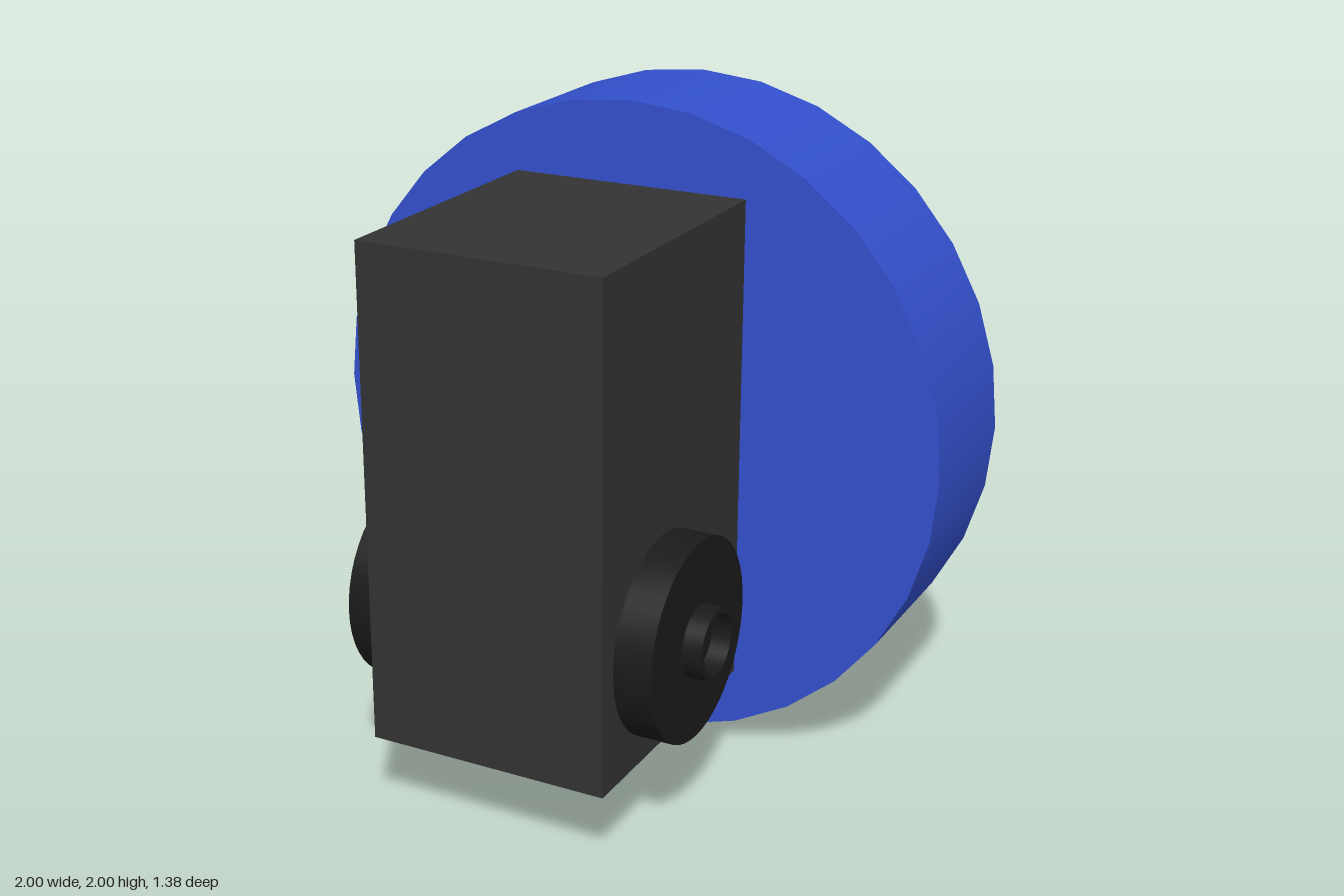
import * as THREE from 'three';
import { toCreasedNormals } from 'three/addons/utils/BufferGeometryUtils.js';

const paint = (color) => new THREE.MeshStandardMaterial({ color });

export function createModel() {
  const model = new THREE.Group();
  const add = (name, geometry, material, x, y, z) => {
    const mesh = new THREE.Mesh(geometry, material);
    mesh.name = name;
    mesh.position.set(x, y, z);
    model.add(mesh);
    return mesh;
  };

  // large round disc at the back
  const disc = new THREE.CylinderGeometry(1, 1, 0.5, 32).rotateX(Math.PI / 2);
  add('disc', disc, paint(0x3350cc), 0, 1, -0.4375);

  // upright box in front of the disc
  add('body', new THREE.BoxGeometry(0.75, 1.5, 0.875), paint(0x333333), 0, 1, 0.25);

  // side knobs, each a wheel with a hollow hub, turned from one profile
  const profile = [
    [0, 0], [0.302, 0], [0.302, 0.115], [0.108, 0.115], [0.108, 0.175],
    [0.09, 0.175], [0.09, 0.115], [0, 0.115],
  ].map(([r, h]) => new THREE.Vector2(r, h));
  const knobGeometry = toCreasedNormals(new THREE.LatheGeometry(profile, 48), 0.6);
  const knobMaterial = paint(0x1a1a1a);
  for (const side of [1, -1]) {
    const name = side > 0 ? 'leftKnob' : 'rightKnob';
    const knob = add(name, knobGeometry, knobMaterial, side * 0.375, 0.605, 0.325);
    knob.rotation.z = -side * Math.PI / 2;
  }
  return model;
}
